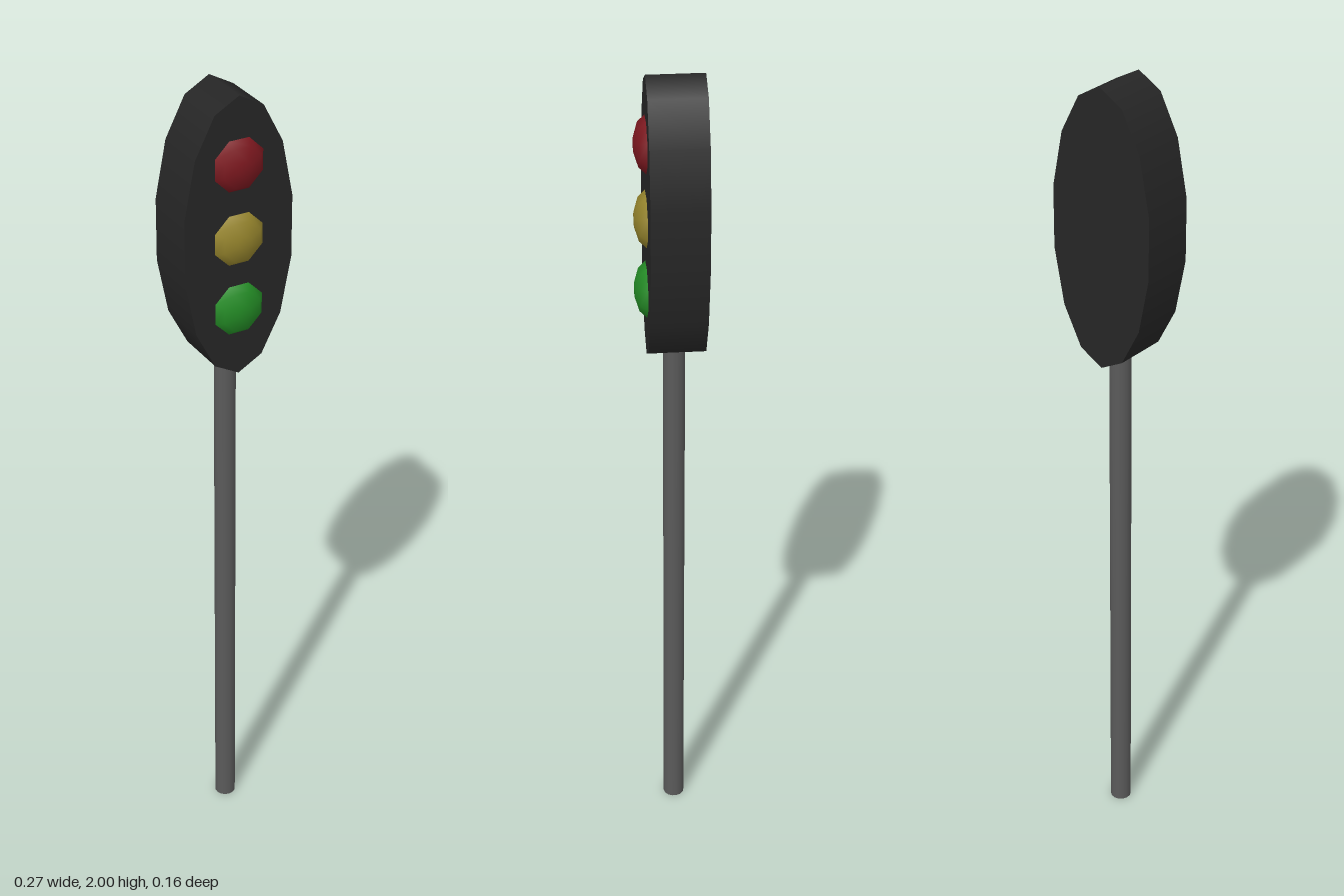
import * as THREE from 'three';

const mat = (color) => new THREE.MeshStandardMaterial({ color });

export function createModel() {
  const model = new THREE.Group();
  model.name = 'trafficLight';
  const add = (name, geometry, material, x, y, z) => {
    const mesh = new THREE.Mesh(geometry, material);
    mesh.name = name;
    mesh.position.set(x, y, z);
    model.add(mesh);
    return mesh;
  };

  // Round pole, its top sunk into the housing
  const poleTop = 1.335;
  add('pole', new THREE.CylinderGeometry(0.026, 0.026, poleTop, 14), mat(0x5a5a5a), 0, poleTop / 2, -0.011);

  // Housing: a 14-sided oval drum facing forward, with a vertex at the top
  const housing = new THREE.CylinderGeometry(1, 1, 0.133, 14);
  housing.rotateX(-Math.PI / 2);
  housing.scale(0.1405, 0.343, 1);
  add('housing', housing, mat(0x262626), 0, 1.657, -0.0135);

  // Three domed eight-sided lenses
  const profile = [[0.066, -0.013], [0.0655, 0], [0.05, 0.017], [0.018, 0.027], [0, 0.027]]
    .map(([r, h]) => new THREE.Vector2(r, h));
  const dome = new THREE.LatheGeometry(profile, 8, Math.PI / 8);
  dome.rotateX(Math.PI / 2);
  const lenses = [['redLens', 0x7c181f, 1.838], ['yellowLens', 0x94832c, 1.658], ['greenLens', 0x238a25, 1.482]];
  for (const [name, color, y] of lenses) add(name, dome, mat(color), 0, y, 0.053);

  return model;
}
